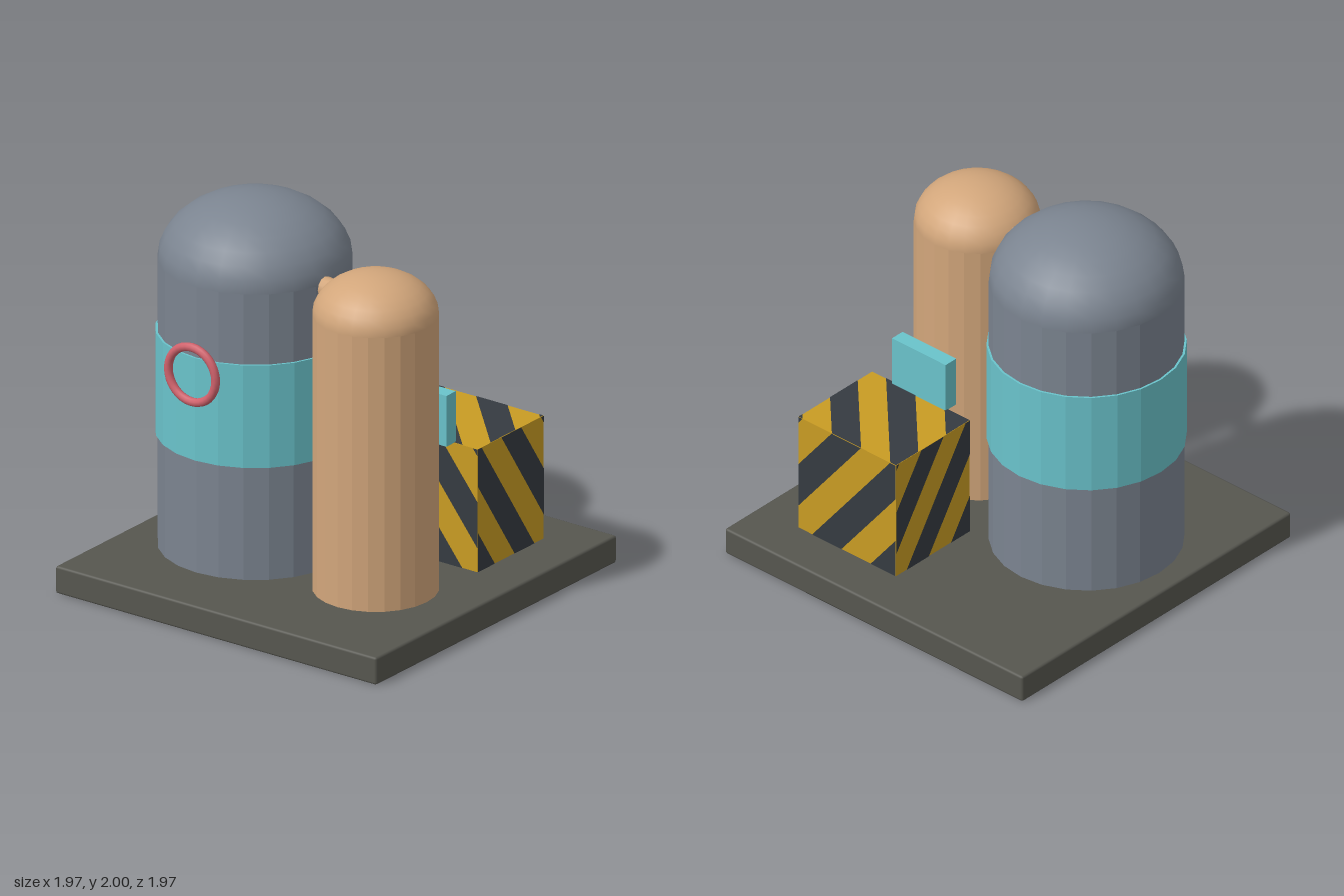
import * as THREE from 'three';
import { RoundedBoxGeometry } from 'three/addons/geometries/RoundedBoxGeometry.js';

const SIDES = 24;

function material(name, color) {
  const m = new THREE.MeshStandardMaterial({ color });
  m.name = name;
  return m;
}

function add(parent, name, geometry, mat, x = 0, y = 0, z = 0) {
  const mesh = new THREE.Mesh(geometry, mat);
  mesh.name = name;
  mesh.position.set(x, y, z);
  parent.add(mesh);
  return mesh;
}

// Cylinder with flat facets
function facetedCylinder(radius, height) {
  const g = new THREE.CylinderGeometry(radius, radius, height, SIDES).toNonIndexed();
  g.computeVertexNormals();
  return g;
}

// Upright tank with a flattened dome
function makeTank(name, mat, x, z, radius, bottom, top) {
  const tank = new THREE.Group();
  tank.name = name;
  tank.position.set(x, 0, z);
  const domeHeight = radius * 0.7;
  const height = top - domeHeight - bottom;
  add(tank, name + 'Body', facetedCylinder(radius, height), mat, 0, bottom + height / 2, 0);
  const dome = new THREE.SphereGeometry(radius, SIDES, 8, 0, Math.PI * 2, 0, Math.PI / 2);
  dome.scale(1, 0.7, 1);
  add(tank, name + 'Dome', dome, mat, 0, top - domeHeight, 0);
  return tank;
}

// Keep the part of a polygon where f(point) >= 0
function clip(points, f) {
  const out = [];
  points.forEach((a, i) => {
    const b = points[(i + 1) % points.length];
    const fa = f(a), fb = f(b);
    if (fa >= 0) out.push(a);
    if (fa * fb < 0) out.push(a.clone().lerp(b, fa / (fa - fb)));
  });
  return out;
}

// Diagonal bands covering one face of the cabinet, in the XY plane
function stripeGeometry(w, h, mirror) {
  const phase = p => p.x / 0.6 + p.y / 0.75;
  const square = [[0, 0], [1, 0], [1, 1], [0, 1]].map(c => new THREE.Vector2(...c));
  const shapes = [];
  for (let k = 0; k < 4; k++) {
    const band = clip(clip(square, p => phase(p) - (k - 0.07)), p => k + 0.43 - phase(p));
    if (band.length < 3) continue;
    shapes.push(new THREE.Shape(band.map(p =>
      new THREE.Vector2((mirror ? 0.5 - p.x : p.x - 0.5) * w, (p.y - 0.5) * h))));
  }
  return new THREE.ShapeGeometry(shapes);
}

export function createModel() {
  const model = new THREE.Group();
  model.name = 'tankStation';
  const baseMat = material('dark olive grey', 0x56564f);
  const greyMat = material('slate grey', 0x7b8490);
  const tanMat = material('copper tan', 0xd2a67b);
  const tealMat = material('teal', 0x6ac3cb);
  const redMat = material('rose red', 0xd0626c);
  const yellowMat = material('hazard yellow', 0xc99c23);
  const darkMat = material('hazard dark', 0x353b41);

  // Base slab
  add(model, 'base', new RoundedBoxGeometry(1.97, 0.145, 1.97, 1, 0.012), baseMat, 0, 0.0725, 0);

  // Large tank with its band and hand wheel
  const large = makeTank('largeTank', greyMat, -0.38, 0.155, 0.482, 0.145, 2);
  add(large, 'band', facetedCylinder(0.493, 0.545), tealMat, 0, 1.017, 0);
  add(large, 'handWheel', new THREE.TorusGeometry(0.145, 0.022, 10, 32), redMat, 0, 1.21, 0.517);
  model.add(large);

  // Small tank
  model.add(makeTank('smallTank', tanMat, 0.44, 0.262, 0.313, 0.145, 1.82));

  // Pipe joining the tanks
  const pipe = add(model, 'pipe', new THREE.CylinderGeometry(0.055, 0.055, 0.2, 12), tanMat, 0.08, 1.64, 0.21);
  pipe.rotation.set(0, -0.13, Math.PI / 2);

  // Striped cabinet
  const size = new THREE.Vector3(0.645, 0.653, 0.54);
  const cabinet = new THREE.Group();
  cabinet.name = 'cabinet';
  cabinet.position.set(0.4, 0.145 + size.y / 2, -0.465);
  add(cabinet, 'cabinetBody', new THREE.BoxGeometry(size.x, size.y, size.z), yellowMat);
  const faces = [
    ['front', size.x, size.y, size.z, 0, 0, false],
    ['back', size.x, size.y, size.z, 0, Math.PI, true],
    ['left', size.z, size.y, size.x, 0, Math.PI / 2, false],
    ['right', size.z, size.y, size.x, 0, -Math.PI / 2, true],
    ['top', size.x, size.z, size.y, -Math.PI / 2, 0, false],
  ];
  for (const [name, w, h, depth, rx, ry, mirror] of faces) {
    const g = stripeGeometry(w, h, mirror).translate(0, 0, depth / 2 + 0.002);
    add(cabinet, name + 'Stripes', g, darkMat).rotation.set(rx, ry, 0);
  }
  model.add(cabinet);

  // Control panel over the cabinet's front edge
  add(model, 'controlPanel', new THREE.BoxGeometry(0.355, 0.27, 0.078), tealMat, 0.4, 0.932, -0.172);

  return model;
}
